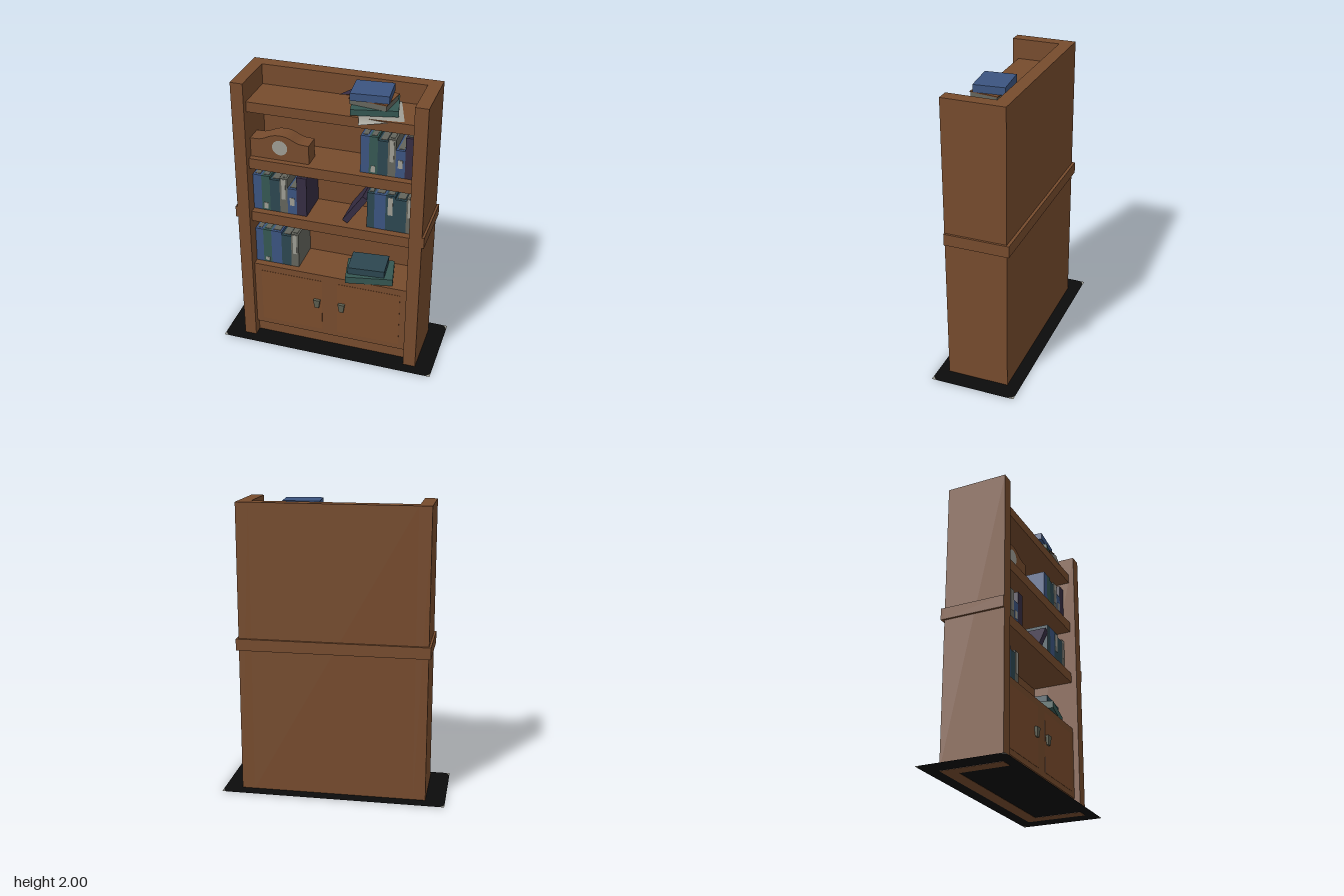
import * as THREE from 'three';

const mat = (name, color, side = THREE.FrontSide) => {
  const m = new THREE.MeshStandardMaterial({ color, side });
  m.name = name;
  return m;
};

export function createModel() {
  const M = {
    wood: mat('wood', 0x764b2d),
    panel: mat('door panel wood', 0x7a4c2c),
    black: mat('floor shadow black', 0x0b0b0b, THREE.DoubleSide),
    blue: mat('blue cover', 0x3b5480),
    green: mat('green cover', 0x355752),
    teal: mat('dark teal cover', 0x2c4650),
    grey: mat('grey cover', 0x63645c),
    pale: mat('pale paper', 0x9d9c93, THREE.DoubleSide),
    purple: mat('purple cover', 0x352c42, THREE.DoubleSide),
    metal: mat('handle metal', 0x5d5f50),
  };
  const root = new THREE.Group();
  root.name = 'bookcase';

  const add = (name, geo, m, parent = root) => {
    const mesh = new THREE.Mesh(geo, m);
    mesh.name = name;
    parent.add(mesh);
    return mesh;
  };
  // Box given by its minimum and maximum along each axis
  const box = (name, m, x0, x1, y0, y1, z0, z1, parent = root) => {
    const b = add(name, new THREE.BoxGeometry(x1 - x0, y1 - y0, z1 - z0), m, parent);
    b.position.set((x0 + x1) / 2, (y0 + y1) / 2, (z0 + z1) / 2);
    return b;
  };

  // Carcass: back, two sides and the waist band around three faces
  const L = -0.55, R = 0.56, BACK = -0.115, FRONT = 0.18;
  box('backPanel', M.wood, L, R, 0, 2, -0.205, BACK);
  box('rightSide', M.wood, -0.635, L, 0, 2, -0.205, 0.22);
  box('leftSide', M.wood, R, 0.647, 0, 2, -0.205, 0.22);
  box('bandBack', M.wood, -0.65, 0.662, 1.005, 1.085, -0.225, -0.205);
  box('bandRight', M.wood, -0.65, -0.635, 1.005, 1.085, -0.205, 0.22);
  box('bandLeft', M.wood, 0.647, 0.662, 1.005, 1.085, -0.205, 0.22);

  // Shelves
  for (const [y0, y1] of [[1.79, 1.86], [1.375, 1.45], [0.965, 1.04]])
    box('shelf', M.wood, L, R, y0, y1, BACK, FRONT);

  // Cupboard with plinth, two door panels and tapered handles
  box('cupboard', M.wood, L, R, 0.1, 0.61, BACK, FRONT);
  box('plinth', M.wood, L, R, 0.004, 0.1, 0.1, 0.15);
  for (const [x0, x1, hx] of [[-0.5, -0.05, -0.085], [0.06, 0.51, 0.095]]) {
    box('doorPanel', M.panel, x0, x1, 0.14, 0.56, FRONT, FRONT + 0.002);
    const h = add('handle', new THREE.CylinderGeometry(0.034, 0.021, 0.065, 4, 1), M.metal);
    h.geometry.rotateY(Math.PI / 4);
    h.geometry = h.geometry.toNonIndexed();
    h.geometry.computeVertexNormals();
    h.scale.z = 0.5;
    h.position.set(hx, 0.368, FRONT + 0.012);
  }

  // Mantel clock with a curved top
  const s = new THREE.Shape();
  s.moveTo(L, 1.45);
  s.lineTo(-0.145, 1.45);
  s.lineTo(-0.145, 1.583);
  s.lineTo(-0.2, 1.585);
  s.bezierCurveTo(-0.26, 1.595, -0.27, 1.628, -0.345, 1.628);
  s.bezierCurveTo(-0.42, 1.628, -0.43, 1.595, -0.49, 1.585);
  s.lineTo(L, 1.583);
  const clock = new THREE.ExtrudeGeometry(s, { depth: 0.12, bevelEnabled: false, curveSegments: 8 });
  add('clockCase', clock, M.wood).position.z = 0.02;
  add('clockFace', new THREE.CircleGeometry(0.053, 20), M.pale).position.set(-0.345, 1.54, 0.142);

  // Upright books: [colour, width, height, label from, label to] with labels as fractions of height
  const row = (x, y, books) => {
    const g = new THREE.Group();
    g.name = 'bookRow';
    root.add(g);
    for (const [c, w, h, a, b] of books) {
      box('book', M[c], x, x + w, y, y + h, BACK, 0.13, g);
      box('pageTop', M.grey, x + 0.012, x + w - 0.012, y + h, y + h + 0.003, BACK, 0.11, g);
      if (b) box('spineLabel', M.pale, x + w * 0.25, x + w * 0.75, y + h * a, y + h * b, 0.13, 0.133, g);
      x += w;
    }
  };
  const mixed = [
    ['blue', 0.06, 0.265], ['green', 0.06, 0.265, 0.05, 0.22], ['teal', 0.07, 0.245],
    ['grey', 0.055, 0.265, 0.4, 0.98], ['blue', 0.065, 0.195, 0.35, 0.65], ['purple', 0.07, 0.29],
  ];
  row(0.2, 1.45, mixed.map(([c, w, ...r]) => [c, w * 0.947, ...r]));
  row(L, 1.04, mixed);
  row(0.25, 1.04, [
    ['teal', 0.05, 0.265], ['blue', 0.075, 0.265], ['teal', 0.065, 0.265, 0.45, 0.95],
    ['teal', 0.075, 0.245], ['grey', 0.045, 0.265, 0.45, 0.98],
  ]);
  row(L, 0.61, [
    ['blue', 0.055, 0.265], ['green', 0.06, 0.265, 0.05, 0.15], ['blue', 0.075, 0.265],
    ['teal', 0.07, 0.245], ['grey', 0.055, 0.265, 0.4, 0.98],
  ]);

  // Book leaning on its neighbours
  const lean = add('leaningBook', new THREE.BoxGeometry(0.042, 0.245, 0.24), M.purple);
  lean.position.set(0.167, 1.154, 0.01);
  lean.rotation.z = -0.6;

  // Books lying flat
  const flat = (name, m, w, h, d, x, y, z, turn) => {
    const b = add(name, new THREE.BoxGeometry(w, h, d), m);
    b.position.set(x, y + h / 2, z);
    b.rotation.y = turn;
  };
  flat('lowerFlatBook', M.green, 0.325, 0.05, 0.23, 0.265, 0.61, 0.07, 0.2);
  flat('upperFlatBook', M.teal, 0.255, 0.05, 0.2, 0.25, 0.66, 0.06, 0.09);
  flat('topPileGreen', M.green, 0.3, 0.04, 0.235, 0.265, 1.867, 0.033, 0.22);
  flat('topPilePages', M.grey, 0.25, 0.037, 0.19, 0.255, 1.907, 0.03, -0.15);
  flat('topPileCover', M.wood, 0.26, 0.006, 0.2, 0.255, 1.944, 0.03, -0.15);
  flat('topPileBlue', M.blue, 0.25, 0.05, 0.21, 0.245, 1.95, 0.03, 0.09);

  // Loose sheet drooping over the shelf edge, and a bookmark corner
  const facet = (name, m, pts, index) => {
    const g = new THREE.BufferGeometry();
    g.setAttribute('position', new THREE.Float32BufferAttribute(pts, 3));
    g.setIndex(index);
    g.computeVertexNormals();
    add(name, g, m);
  };
  facet('looseSheet', M.pale,
    [0.14, 1.864, -0.04, 0.4, 1.864, -0.115, 0.485, 1.862, 0.155, 0.21, 1.83, 0.225, 0.2, 1.862, 0.182],
    [0, 4, 1, 1, 4, 2, 4, 3, 2]);
  facet('bookmark', M.purple, [0.04, 1.952, 0.088, 0.14, 1.966, 0.088, 0.12, 1.966, -0.02], [0, 1, 2]);

  // Thin floor mat: dark rounded rectangle with pale corner pieces
  const X = 0.77, Z = 0.295, r = 0.06;
  const mat2 = new THREE.Shape();
  mat2.moveTo(-X + r, -Z);
  for (const [cx, cz, ex, ez, nx, nz] of [
    [X, -Z, X, -Z + r, X - r, -Z], [X, Z, X - r, Z, X, Z - r],
    [-X, Z, -X, Z - r, -X + r, Z], [-X, -Z, -X + r, -Z, -X, -Z + r],
  ]) {
    mat2.lineTo(nx, nz);
    mat2.quadraticCurveTo(cx, cz, ex, ez);
    const c = new THREE.Shape();
    c.moveTo(cx, cz);
    c.lineTo(ex, ez);
    c.quadraticCurveTo(cx, cz, nx, nz);
    const corner = add('matCorner', new THREE.ShapeGeometry(c, 6), M.pale);
    corner.rotation.x = -Math.PI / 2;
    corner.position.y = 0.002;
  }
  const floor = add('floorMat', new THREE.ShapeGeometry(mat2, 6), M.black);
  floor.rotation.x = -Math.PI / 2;
  floor.position.y = 0.002;

  return root;
}
